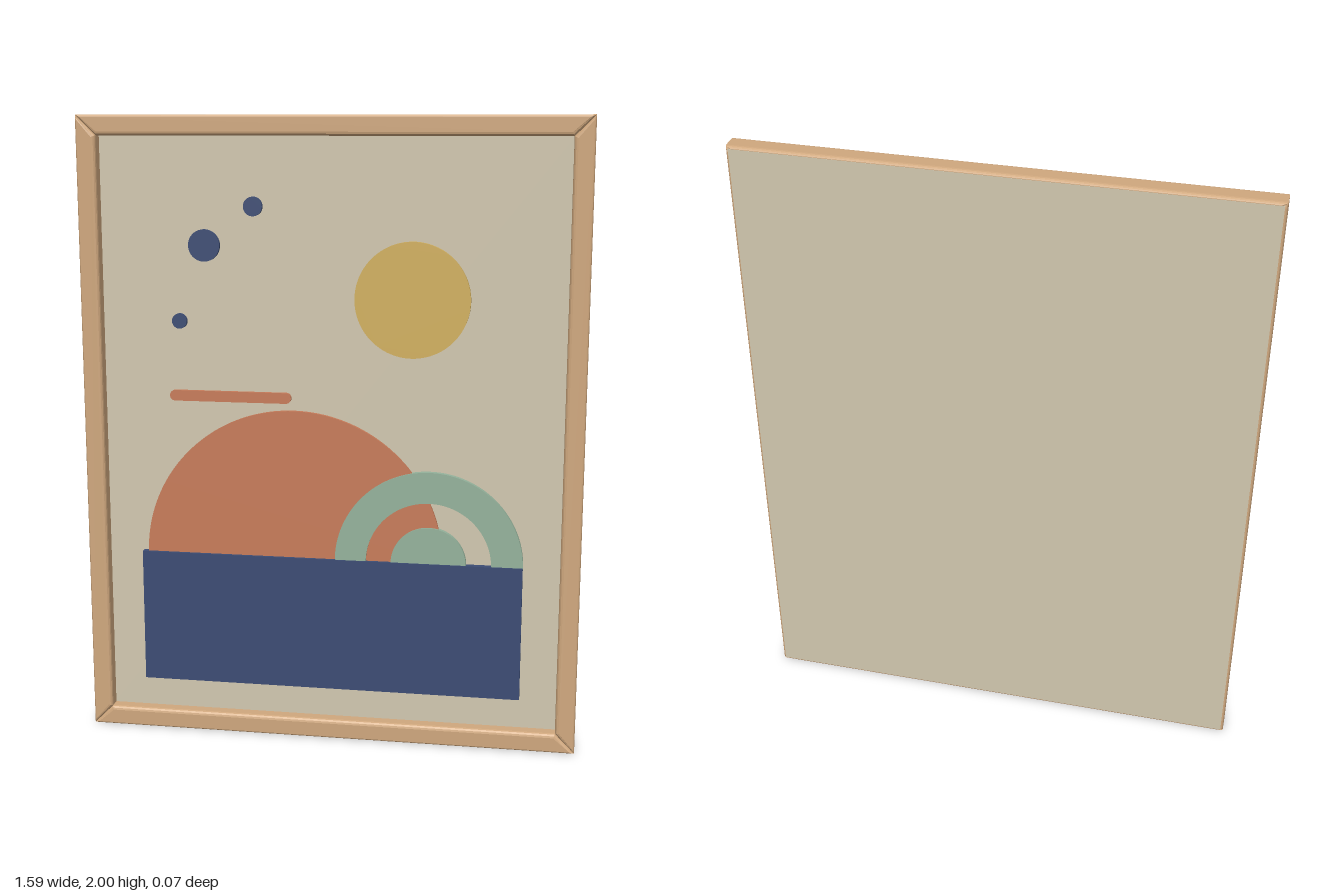
import * as THREE from 'three';

const mat = (name, color) => new THREE.MeshStandardMaterial({ name, color });

export function createModel() {
  const group = new THREE.Group();
  const wood = mat('wood', 0xd0a87e);
  const paper = mat('paper', 0xd2c8b0);
  const navy = mat('navy', 0x3c4c74);
  const coral = mat('coral', 0xc87c5a);
  const sage = mat('sage', 0x95b39c);
  const ochre = mat('ochre', 0xd2b05e);

  const W = 0.796, H = 1, BAR = 0.063, D = 0.033, BEVEL = 0.012;
  const FACE = -0.012; // front of the backing panel

  const add = (name, geometry, material, x = 0, y = 0, z = 0) => {
    const mesh = new THREE.Mesh(geometry, material);
    mesh.name = name;
    mesh.position.set(x, y, z);
    group.add(mesh);
    return mesh;
  };

  // Frame: four mitred bars with rounded edges
  const bar = (name, half, dist, angle) => {
    const shape = new THREE.Shape([
      new THREE.Vector2(-half, dist),
      new THREE.Vector2(-half + BAR, dist - BAR),
      new THREE.Vector2(half - BAR, dist - BAR),
      new THREE.Vector2(half, dist),
    ]);
    const geometry = new THREE.ExtrudeGeometry(shape, {
      depth: 2 * (D - BEVEL), bevelThickness: BEVEL, bevelSize: BEVEL,
      bevelOffset: -BEVEL, bevelSegments: 3,
    });
    geometry.translate(0, 0, BEVEL - D);
    add(name, geometry, wood, 0, H).rotation.z = angle;
  };
  bar('frameTop', W, H, 0);
  bar('frameLeft', H, W, -Math.PI / 2);
  bar('frameBottom', W, H, Math.PI);
  bar('frameRight', H, W, Math.PI / 2);

  // Backing panel, just proud of the frame's back
  const back = -D - 0.0005;
  add('backPanel', new THREE.BoxGeometry(2 * W - 0.016, 2 * H - 0.016, 0.006), paper, 0, H, back + 0.003);
  add('picturePanel', new THREE.BoxGeometry(2 * (W - BAR) + 0.03, 2 * (H - BAR) + 0.03, FACE - back - 0.003),
    paper, 0, H, (FACE + back + 0.003) / 2);

  // Raised picture pieces
  const piece = (name, shape, material, x, y, thick) =>
    add(name, new THREE.ExtrudeGeometry(shape, { depth: thick, bevelEnabled: false, curveSegments: 48 }),
      material, x, y, FACE);
  const disc = (r) => new THREE.Shape().absarc(0, 0, r, 0, Math.PI * 2);
  const halfDisc = (r) => new THREE.Shape().absarc(0, 0, r, 0, Math.PI);
  const arch = (r, inner) => halfDisc(r).absarc(0, 0, inner, Math.PI, 0, true);

  piece('sun', disc(0.18), ochre, 0.257, 1.44, 0.014);
  [[-0.4, 1.6, 0.05], [-0.243, 1.722, 0.03], [-0.483, 1.361, 0.024]]
    .forEach(([x, y, r], i) => piece('dot' + (i + 1), disc(r), navy, x, y, 0.012));

  // Cloud stripe with rounded ends
  const r = 0.017, l = 0.18;
  const stripe = new THREE.Shape()
    .absarc(l, 0, r, -Math.PI / 2, Math.PI / 2)
    .absarc(-l, 0, r, Math.PI / 2, Math.PI * 1.5);
  piece('cloudStripe', stripe, coral, -0.322, 1.122, 0.012);

  // Hills and water
  piece('bigHill', halfDisc(0.482), coral, -0.12, 0.6, 0.012);
  piece('outerArch', arch(0.3, 0.2), sage, 0.317, 0.6, 0.018);
  piece('innerArch', halfDisc(0.12), sage, 0.317, 0.6, 0.018);
  add('water', new THREE.BoxGeometry(1.236, 0.438, 0.022), navy, -0.002, 0.383, FACE + 0.011);

  return group;
}
